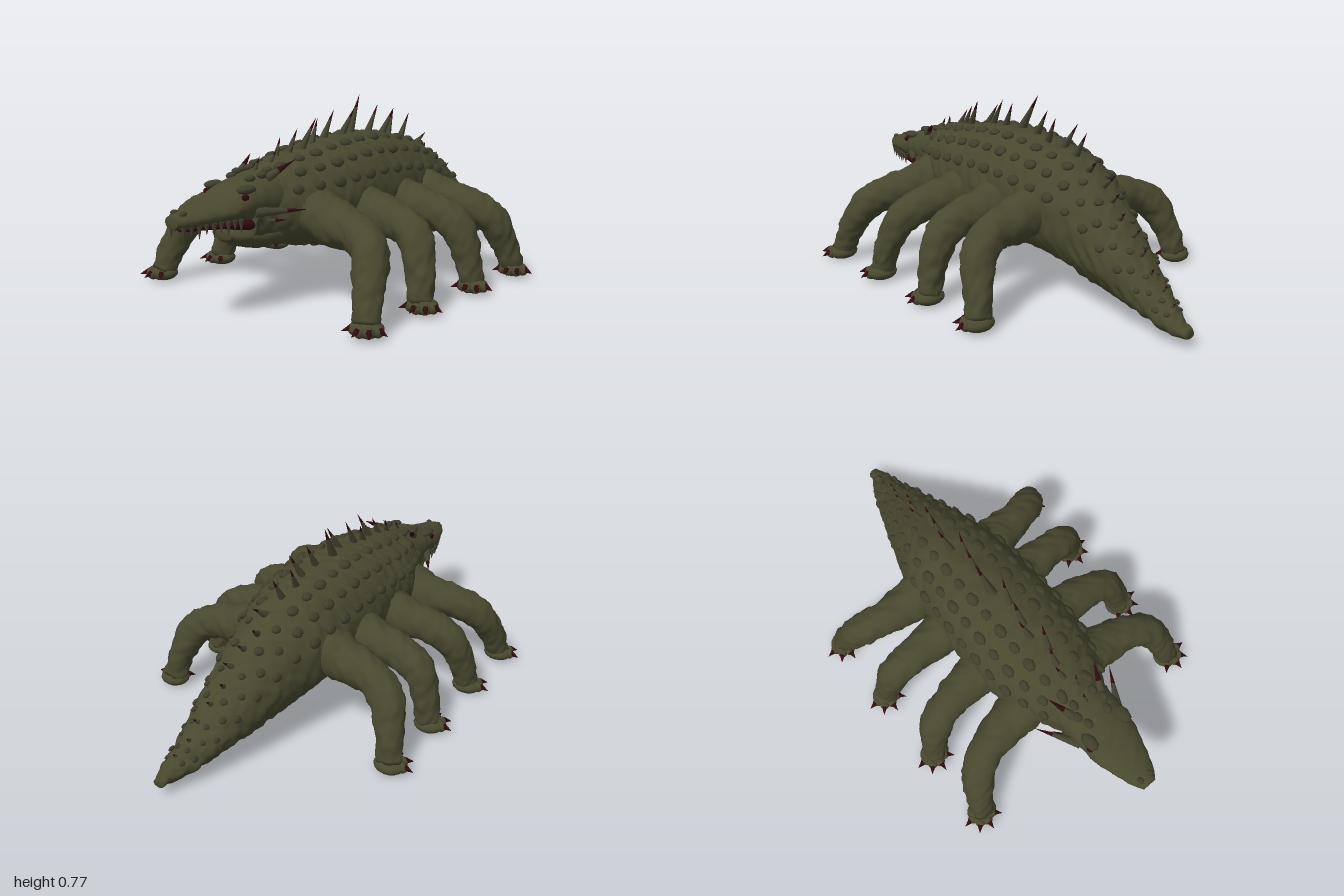
import * as THREE from 'three';
import { mergeGeometries } from 'three/addons/utils/BufferGeometryUtils.js';

const V = (x, y, z) => new THREE.Vector3(x, y, z);
const material = (name, color) => Object.assign(new THREE.MeshStandardMaterial({ color }), { name });

// Lumpy hide: offset along the surface direction
const lump = (p, n) =>
  n * (Math.sin(52 * p.x + 2 * Math.sin(31 * p.z)) * Math.sin(47 * p.y + 1.3) * Math.sin(55 * p.z + Math.sin(40 * p.y)) +
    0.45 * Math.sin(115 * p.x + 1) * Math.sin(105 * p.z + 2 * Math.sin(60 * p.y)));

// Closed skin round a spine; frame(u) gives centre p, axes X and Y, radii rx and ry
function skin(frame, nu, nv, bump) {
  const pos = [], index = [];
  for (let i = 0; i <= nu; i++) {
    const f = frame(i / nu);
    for (let j = 0; j < nv; j++) {
      const a = (j / nv) * Math.PI * 2;
      const dir = f.X.clone().multiplyScalar(f.rx * Math.cos(a)).addScaledVector(f.Y, f.ry * Math.sin(a));
      const p = f.p.clone().add(dir);
      p.addScaledVector(dir.normalize(), lump(p, bump));
      pos.push(p.x, p.y, p.z);
      const k = (j + 1) % nv;
      if (i < nu) {
        const A = i * nv + j, B = i * nv + k;
        index.push(A, A + nv, B, B, A + nv, B + nv);
      }
    }
  }
  const start = pos.length / 3;
  for (const u of [0, 1]) pos.push(...frame(u).p.toArray());
  for (let j = 0; j < nv; j++) {
    const k = (j + 1) % nv, end = nu * nv;
    index.push(start, j, k, start + 1, end + k, end + j);
  }
  const g = new THREE.BufferGeometry();
  g.setAttribute('position', new THREE.Float32BufferAttribute(pos, 3));
  g.setIndex(index);
  g.computeVertexNormals();
  return g;
}

// Frames for a part running from front to back; rows are [z, centre x, top, bottom, half width]
function loft(rows) {
  const a = new THREE.CatmullRomCurve3(rows.map(r => V(r[0], r[1], r[2])), false, 'catmullrom');
  const b = new THREE.CatmullRomCurve3(rows.map(r => V(r[3], r[4], 0)), false, 'catmullrom');
  return u => {
    const p = a.getPoint(u), q = b.getPoint(u);
    return { p: V(p.y, (p.z + q.x) / 2, p.x), X: V(1, 0, 0), Y: V(0, 1, 0), rx: q.y, ry: (p.z - q.x) / 2 };
  };
}

// Frame at a given z
function frameAt(frame, z) {
  let lo = 0, hi = 1;
  for (let i = 0; i < 24; i++) {
    const m = (lo + hi) / 2;
    if (frame(m).p.z > z) lo = m; else hi = m;
  }
  return frame(lo);
}

// Tapered piece between two points
function taper(from, to, r0, r1, sides = 7) {
  const d = to.clone().sub(from), h = d.length();
  const g = new THREE.CylinderGeometry(r1, r0, h, sides);
  g.translate(0, h / 2, 0);
  g.applyQuaternion(new THREE.Quaternion().setFromUnitVectors(V(0, 1, 0), d.normalize()));
  return g.translate(from.x, from.y, from.z);
}

// Ellipsoid whose y axis points along up
function blob(c, sx, sy, sz, up = V(0, 1, 0), w = 8, h = 6) {
  const g = new THREE.SphereGeometry(1, w, h).scale(sx, sy, sz);
  g.applyQuaternion(new THREE.Quaternion().setFromUnitVectors(V(0, 1, 0), up));
  return g.translate(c.x, c.y, c.z);
}

export function createModel() {
  const model = new THREE.Group();
  model.name = 'eightLeggedReptile';
  const hide = material('olive hide', 0x48482f);
  const scale = material('dark scale', 0x3f3f2b);
  const horn = material('horn', 0x45432f);
  const red = material('dark red', 0x330a0e);
  const add = (name, geo, mat, parent = model) => {
    const m = new THREE.Mesh(Array.isArray(geo) ? mergeGeometries(geo) : geo, mat);
    m.name = name;
    parent.add(m);
  };

  // Body and tail, the tail bending to its left
  const body = loft([
    [0.70, 0, 0.50, 0.27, 0.115], [0.6, 0, 0.525, 0.24, 0.125], [0.5, 0, 0.565, 0.23, 0.18],
    [0.35, 0, 0.59, 0.2, 0.23], [0.2, 0, 0.615, 0.17, 0.24], [0, 0, 0.625, 0.16, 0.24],
    [-0.2, 0, 0.6, 0.15, 0.225], [-0.35, 0, 0.56, 0.13, 0.2], [-0.5, 0.015, 0.47, 0.1, 0.16],
    [-0.65, 0.035, 0.34, 0.08, 0.125], [-0.8, 0.055, 0.21, 0.055, 0.085],
    [-0.92, 0.075, 0.125, 0.04, 0.05], [-1, 0.085, 0.075, 0.045, 0.02]]);
  add('bodyAndTail', skin(body, 150, 64, 0.007), hide);

  // Head: jaws and open mouth
  const upper = loft([
    [1, 0, 0.42, 0.375, 0.032], [0.96, 0, 0.432, 0.367, 0.055], [0.88, 0, 0.447, 0.365, 0.085],
    [0.8, 0, 0.468, 0.36, 0.11], [0.72, 0, 0.505, 0.35, 0.12], [0.62, 0, 0.53, 0.33, 0.125], [0.5, 0, 0.55, 0.3, 0.13]]);
  const lower = loft([
    [0.77, 0, 0.335, 0.295, 0.05], [0.72, 0, 0.345, 0.265, 0.08], [0.62, 0, 0.35, 0.238, 0.105], [0.5, 0, 0.4, 0.24, 0.13]]);
  const mouth = loft([
    [0.96, 0, 0.385, 0.358, 0.035], [0.88, 0, 0.385, 0.353, 0.065], [0.8, 0, 0.385, 0.345, 0.092],
    [0.72, 0, 0.385, 0.325, 0.105], [0.6, 0, 0.38, 0.3, 0.1]]);
  add('upperJaw', skin(upper, 50, 36, 0.003), hide);
  add('lowerJaw', skin(lower, 24, 32, 0.003), hide);
  add('mouthInside', skin(mouth, 24, 24, 0), red);

  const teeth = [], eyes = [], headBumps = [], spikes = [], tips = [];
  // Spike with a dark red end, split at fraction k
  const spike = (from, to, r, k) => {
    const mid = from.clone().lerp(to, k);
    spikes.push(taper(from, mid, r, r * (1 - k)));
    tips.push(taper(mid, to, r * (1 - k), 0));
  };
  for (const s of [1, -1]) {
    for (let i = 0; i < 9; i++) {
      const z = 0.975 - i * 0.026, f = frameAt(upper, z), x = s * (f.rx - 0.014);
      teeth.push(taper(V(x, 0.385, z), V(x, i % 2 ? 0.345 : 0.33, z), 0.011, 0, 5));
    }
    for (let i = 0; i < 4; i++) {
      const z = 0.762 - i * 0.024, x = s * (0.02 + i * 0.018);
      teeth.push(taper(V(x, 0.32, z), V(x * 1.1, 0.362, z + 0.008), 0.008, 0, 5));
    }
    eyes.push(blob(V(s * 0.104, 0.462, 0.745), 0.012, 0.012, 0.016));
    headBumps.push(blob(V(s * 0.088, 0.486, 0.725), 0.028, 0.016, 0.045));
    headBumps.push(blob(V(s * 0.025, 0.427, 0.965), 0.013, 0.01, 0.016));
    for (let i = 0; i < 4; i++)
      headBumps.push(blob(V(s * (0.05 + 0.018 * (i % 2)), 0.515 + 0.01 * i, 0.67 - 0.045 * i), 0.018, 0.014, 0.024));
    // Crown and cheek horns
    spike(V(s * 0.075, 0.51, 0.61), V(s * 0.122, 0.575, 0.5), 0.02, 0.4);
    spike(V(s * 0.105, 0.4, 0.7), V(s * 0.208, 0.398, 0.53), 0.022, 0.6);
    spike(V(s * 0.1, 0.36, 0.66), V(s * 0.155, 0.36, 0.58), 0.014, 0.5);
  }
  add('teeth', teeth, horn);
  add('eyes', eyes, red);
  add('headBumps', headBumps, scale);

  // Spines on the back: [tip z, height]
  const spines = [[0.57, 0.06], [0.5, 0.05], [0.43, 0.07], [0.36, 0.09], [0.28, 0.12], [0.21, 0.09], [0.14, 0.115], [0.04, 0.11],
    [-0.06, 0.15], [-0.15, 0.11], [-0.23, 0.105], [-0.3, 0.1], [-0.38, 0.1], [-0.47, 0.105]];
  for (let z = -0.53; z > -0.95; z -= 0.056) spines.push([z, 0.085 + (z + 0.53) * 0.13]);
  spines.forEach(([z, h], i) => {
    const base = z + Math.min(0.09, h * 0.65), f = frameAt(body, base), top = f.p.y + f.ry;
    const side = [0, 0.018, -0.018][i % 3] * Math.min(1, f.rx / 0.2);
    const tipY = z < -0.45 ? top + h * 0.42 : top + h;
    spike(V(f.p.x + side * 0.6, top - 0.012, base), V(f.p.x + side * 1.6, tipY, z), 0.008 + h * 0.09, 0.65);
  });
  add('spines', spikes, horn);
  add('spineTips', tips, red);

  // Rows of scutes on back and flanks
  const scutes = [];
  [68, 47, 25].forEach((deg, row) => {
    for (let i = 0; i < 17; i++) {
      const z = 0.52 - i * 0.087 - (row % 2) * 0.04, f = frameAt(body, z);
      const k = Math.min(1, 0.3 + f.rx / 0.3) * (i % 2 ? 0.85 : 1);
      for (const s of [1, -1]) {
        const a = THREE.MathUtils.degToRad(deg), c = Math.cos(a) * s, n = Math.sin(a);
        const up = V(c / f.rx, n / f.ry, 0).normalize();
        scutes.push(blob(V(f.p.x + c * f.rx, f.p.y + n * f.ry, z), 0.024 * k, 0.016 * k, 0.033 * k, up));
      }
    }
  });
  add('scutes', scutes, scale);

  // Four pairs of legs: [hip z, foot z]
  const along = [0, 0, 0.15, 0.4, 0.75, 1];
  const px = [0.13, 0.25, 0.39, 0.48, 0.528, 0.55], py = [0.38, 0.335, 0.318, 0.27, 0.16, 0.045];
  const radii = new THREE.CatmullRomCurve3([0.095, 0.092, 0.073, 0.07, 0.057, 0.048].map(r => V(r, 0, 0)), false, 'catmullrom');
  [[0.43, 0.61], [0.19, 0.28], [-0.05, -0.07], [-0.25, -0.39]].forEach(([hz, fz], n) => {
    for (const s of [1, -1]) {
      const leg = new THREE.Group();
      leg.name = `${s > 0 ? 'left' : 'right'}Leg${n + 1}`;
      model.add(leg);
      const path = new THREE.CatmullRomCurve3(px.map((x, i) => V(s * x, py[i], hz + (fz - hz) * along[i])), false, 'catmullrom');
      const limb = skin(u => {
        const T = path.getTangent(u), r = radii.getPoint(u).x;
        const X = V(0, 0, 1).addScaledVector(T, -T.z).normalize();
        return { p: path.getPoint(u), X, Y: X.clone().cross(T), rx: r, ry: r };
      }, 44, 28, 0.007);
      add('limb', limb, hide, leg);
      // Foot with four clawed toes
      const foot = [blob(V(s * 0.555, 0.036, fz), 0.066, 0.032, 0.058, V(0, 1, 0), 16, 10)];
      const claws = [];
      for (const deg of [5, 48, 88, 135]) {
        const a = THREE.MathUtils.degToRad(deg), c = Math.cos(a) * s, d = Math.sin(a);
        const at = (r, y) => V(s * 0.56 + c * r, y, fz + d * r);
        foot.push(blob(at(0.048, 0.036), 0.022, 0.022, 0.022, V(0, 1, 0), 10, 8));
        claws.push(taper(at(0.058, 0.042), at(0.095, 0.03), 0.014, 0, 6));
      }
      add('foot', foot, hide, leg);
      add('claws', claws, red, leg);
    }
  });
  return model;
}
